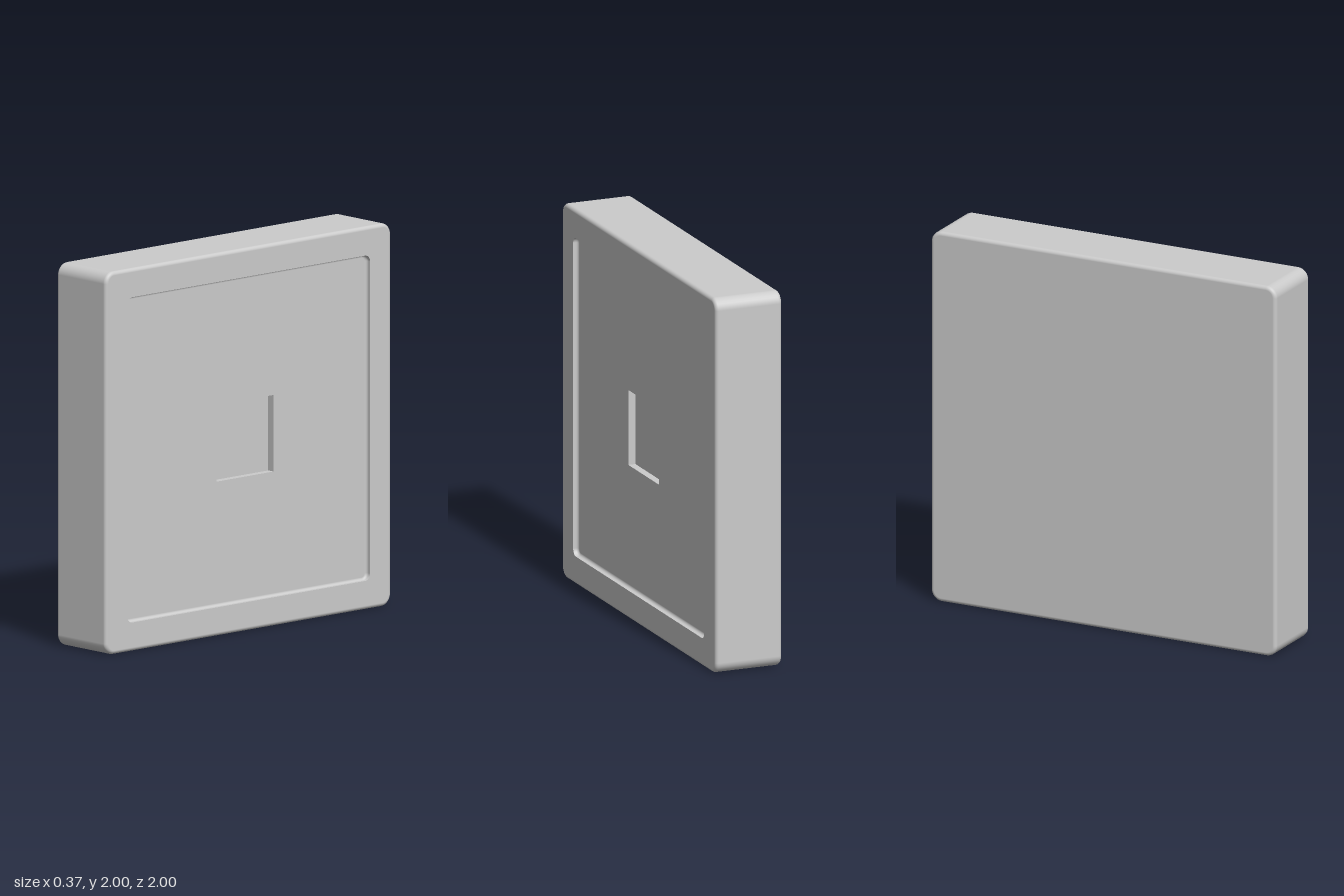
import * as THREE from 'three';

const STEPS = 8; // segments per rounded corner

// Lofts rounded-square rings along x. Each section is [x, halfSize, cornerRadius, normalX, normalRadial].
function loft(sections) {
  const pos = [], nor = [], index = [];
  const n = 4 * (STEPS + 1);
  for (const [x, half, r, nx, nr] of sections) {
    for (let c = 0; c < 4; c++) {
      const mid = Math.PI / 4 + c * Math.PI / 2;
      const cz = Math.sign(Math.cos(mid)) * (half - r);
      const cy = Math.sign(Math.sin(mid)) * (half - r);
      for (let i = 0; i <= STEPS; i++) {
        const a = (c + i / STEPS) * Math.PI / 2;
        pos.push(x, 1 + cy + r * Math.sin(a), cz + r * Math.cos(a));
        nor.push(nx, nr * Math.sin(a), nr * Math.cos(a));
      }
    }
  }
  const p = (i) => new THREE.Vector3().fromArray(pos, i * 3);
  const tri = (a, b, c) => {
    if (new THREE.Triangle(p(a), p(b), p(c)).getArea() > 1e-9) index.push(a, b, c);
  };
  for (let s = 0; s < sections.length - 1; s++) {
    for (let i = 0; i < n; i++) {
      const a = s * n + i, b = s * n + (i + 1) % n;
      tri(a, a + n, b);
      tri(b, a + n, b + n);
    }
  }
  const geo = new THREE.BufferGeometry();
  geo.setAttribute('position', new THREE.Float32BufferAttribute(pos, 3));
  geo.setAttribute('normal', new THREE.Float32BufferAttribute(nor, 3));
  geo.setIndex(index);
  return geo;
}

// Quarter-circle run of sections
function arc(fn) {
  return Array.from({ length: 7 }, (_, i) => {
    const a = (i / 6) * Math.PI / 2;
    return fn(Math.sin(a), Math.cos(a));
  });
}

export function createModel() {
  const group = new THREE.Group();
  const material = new THREE.MeshStandardMaterial({ color: 0xcccccc });
  const add = (name, sections) => {
    const mesh = new THREE.Mesh(loft(sections), material);
    mesh.name = name;
    group.add(mesh);
  };

  const X = 0.186, R = 0.06, F = 0.02;            // half thickness, corner radius, edge fillet
  const H = 0.85, HR = 0.035, HF = 0.015;         // recess half size, corner radius, floor fillet
  const floor = X - 0.028, socket = floor - 0.04; // recess floor and socket floor
  const S = 0.2;                                  // socket half size

  // Closed back, rounded edges and front rim
  add('body', [
    [-X, 0, 0, -1, 0],
    ...arc((s, c) => [-X + F - F * c, 1 - F + F * s, R - F + F * s, -c, s]),
    ...arc((s, c) => [X - F + F * s, 1 - F + F * c, R - F + F * c, s, c]),
    [X, H, HR, 1, 0],
  ]);

  // Shallow tray with a softened floor edge
  add('recessedPanel', [
    [X, H, HR, 0, -1],
    ...arc((s, c) => [floor + HF - HF * s, H - HF + HF * c, HR - HF + HF * c, s, -c]),
    [floor, S, 0, 1, 0],
  ]);

  // Sharp square pocket in the middle
  add('socketWalls', [[floor, S, 0, 0, -1], [socket, S, 0, 0, -1]]);
  add('socketFloor', [[socket, S, 0, 1, 0], [socket, 0, 0, 1, 0]]);

  return group;
}
